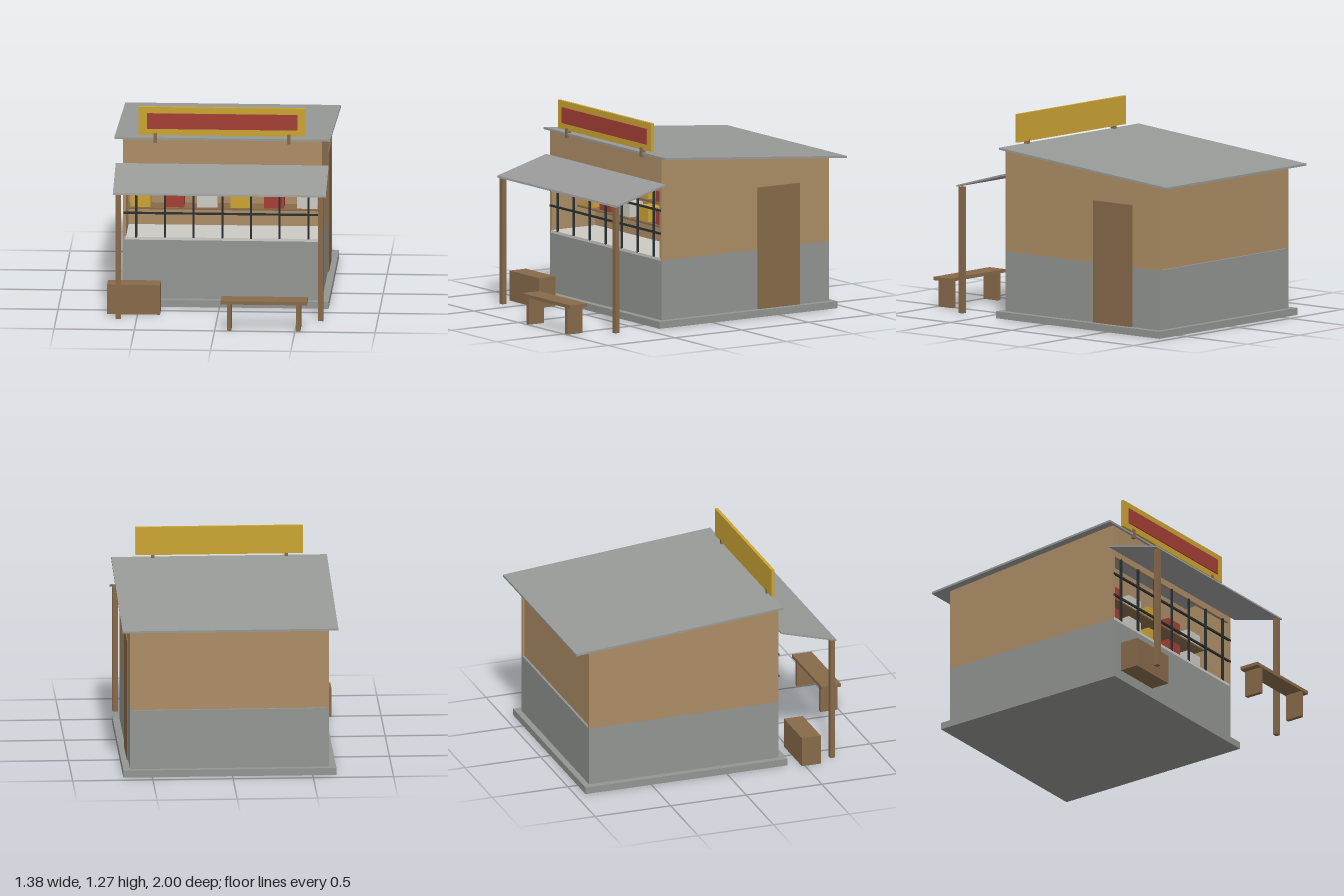
import * as THREE from 'three';

const mat = (name, color) => {
  const m = new THREE.MeshStandardMaterial({ color });
  m.name = name;
  return m;
};

export function createModel() {
  const plaster = mat('tan plaster', 0xac8d66);
  const concrete = mat('grey concrete', 0x929591);
  const metal = mat('roof metal', 0x989a98);
  const wood = mat('brown wood', 0x876a4a);
  const gold = mat('gold paint', 0xcba433);
  const red = mat('red paint', 0xa43e34);
  const white = mat('off white', 0xcccac3);
  const iron = mat('dark iron', 0x2b2f2f);

  const model = new THREE.Group();
  model.name = 'kiosk';

  // Box given by its limits on each axis
  const box = (name, m, [x0, x1], [y0, y1], [z0, z1], parent = model) => {
    const mesh = new THREE.Mesh(new THREE.BoxGeometry(x1 - x0, y1 - y0, z1 - z0), m);
    mesh.position.set((x0 + x1) / 2, (y0 + y1) / 2, (z0 + z1) / 2);
    mesh.name = name;
    parent.add(mesh);
  };

  // Side outline of [z, y] points, extruded from x0 to x1
  const profile = (name, m, points, [x0, x1]) => {
    const shape = new THREE.Shape(points.map(([z, y]) => new THREE.Vector2(-z, y)));
    const geo = new THREE.ExtrudeGeometry(shape, { depth: x1 - x0, bevelEnabled: false });
    geo.rotateY(Math.PI / 2);
    const mesh = new THREE.Mesh(geo, m);
    mesh.position.x = x0;
    mesh.name = name;
    model.add(mesh);
  };

  const group = (name) => {
    const g = new THREE.Group();
    g.name = name;
    model.add(g);
    return g;
  };

  const L = -0.604, R = 0.637, T = 0.02;          // outer wall faces and thickness
  const front = 0.357, back = -0.898, sill = 0.42;
  const eave = (z) => 1.064 - 0.0876 * (0.37 - z); // underside of the roof
  const wall = (z0, z1, y0) => [[z0, y0], [z1, y0], [z1, eave(z1)], [z0, eave(z0)]];

  // Foundation and lower walls
  box('foundationSlab', concrete, [-0.647, 0.68], [0, 0.044], [-0.936, 0.4]);
  box('lowerWall', concrete, [L, R], [0.044, sill], [back, front]);

  // Upper walls, with the back panel set in between the sides
  profile('rightSideWall', plaster, wall(back, front, sill), [L, L + T]);
  profile('leftSideWall', plaster, wall(back, front, sill), [R - T, R]);
  profile('backWall', plaster, wall(back + 0.015, back + 0.035, sill), [L + T, R - T]);
  profile('lintel', plaster, wall(front - T, front, 0.855), [L + T, R - T]);
  profile('partition', plaster, wall(0.01, 0.03, sill), [L + T, R - T]);

  // Sloped roof and awning
  profile('roof', metal, [
    [0.37, eave(0.37)], [0.37, eave(0.37) + 0.013],
    [-1, eave(-1) + 0.013], [-1, eave(-1)],
  ], [-0.656, 0.688]);
  profile('awning', metal, [
    [0.357, 0.896], [0.357, 0.908], [0.722, 0.807], [0.725, 0.795],
  ], [-0.648, 0.679]);
  for (const x of [-0.63, 0.63])
    box('awningPost', wood, [x, x + 0.033], [0, 0.795], [0.689, 0.72]);

  // Door
  box('door', wood, [R - 0.005, R + 0.008], [0.044, 0.812], [-0.678, -0.362]);

  // Counter
  box('counter', white, [L + 0.011, R - 0.011], [sill - 0.002, 0.436], [0.03, front + 0.002]);

  // Shelves with rows of goods
  const shelves = group('shelves');
  const colors = [gold, red, white];
  for (const y of [0.567, 0.712]) {
    box('shelf', wood, [-0.586, 0.619], [y, y + 0.01], [0.03, 0.17], shelves);
    for (let i = 0; i < 6; i++) {
      const x = -0.503 + i * 0.2075;
      box('goods', colors[i % 3], [x - 0.063, x + 0.063], [y + 0.01, y + 0.1], [0.05, 0.15], shelves);
    }
  }

  // Window bars
  const bars = group('windowBars');
  for (let i = 0; i < 7; i++) {
    const x = -0.52 + i * 0.1787;
    box('uprightBar', iron, [x - 0.006, x + 0.006], [0.434, 0.857], [0.351, 0.363], bars);
  }
  for (const y of [0.59, 0.735])
    box('crossBar', iron, [-0.599, 0.632], [y - 0.006, y + 0.006], [0.352, 0.364], bars);

  // Sign board on two brackets
  box('signBoard', gold, [-0.505, 0.535], [1.093, 1.272], [0.345, 0.365]);
  box('signPanel', red, [-0.453, 0.486], [1.133, 1.232], [0.364, 0.372]);
  for (const x of [-0.402, 0.43])
    box('signBracket', wood, [x - 0.011, x + 0.011], [1.045, 1.106], [0.345, 0.374]);

  // Bench
  const bench = group('bench');
  box('benchSeat', wood, [0.037, 0.575], [0.17, 0.191], [0.87, 1], bench);
  for (const x of [0.09, 0.521])
    box('benchLeg', wood, [x - 0.013, x + 0.013], [0, 0.17], [0.878, 0.992], bench);

  // Crate under the awning
  box('crate', wood, [-0.69, -0.36], [0, 0.189], [0.48, 0.605]);

  return model;
}
